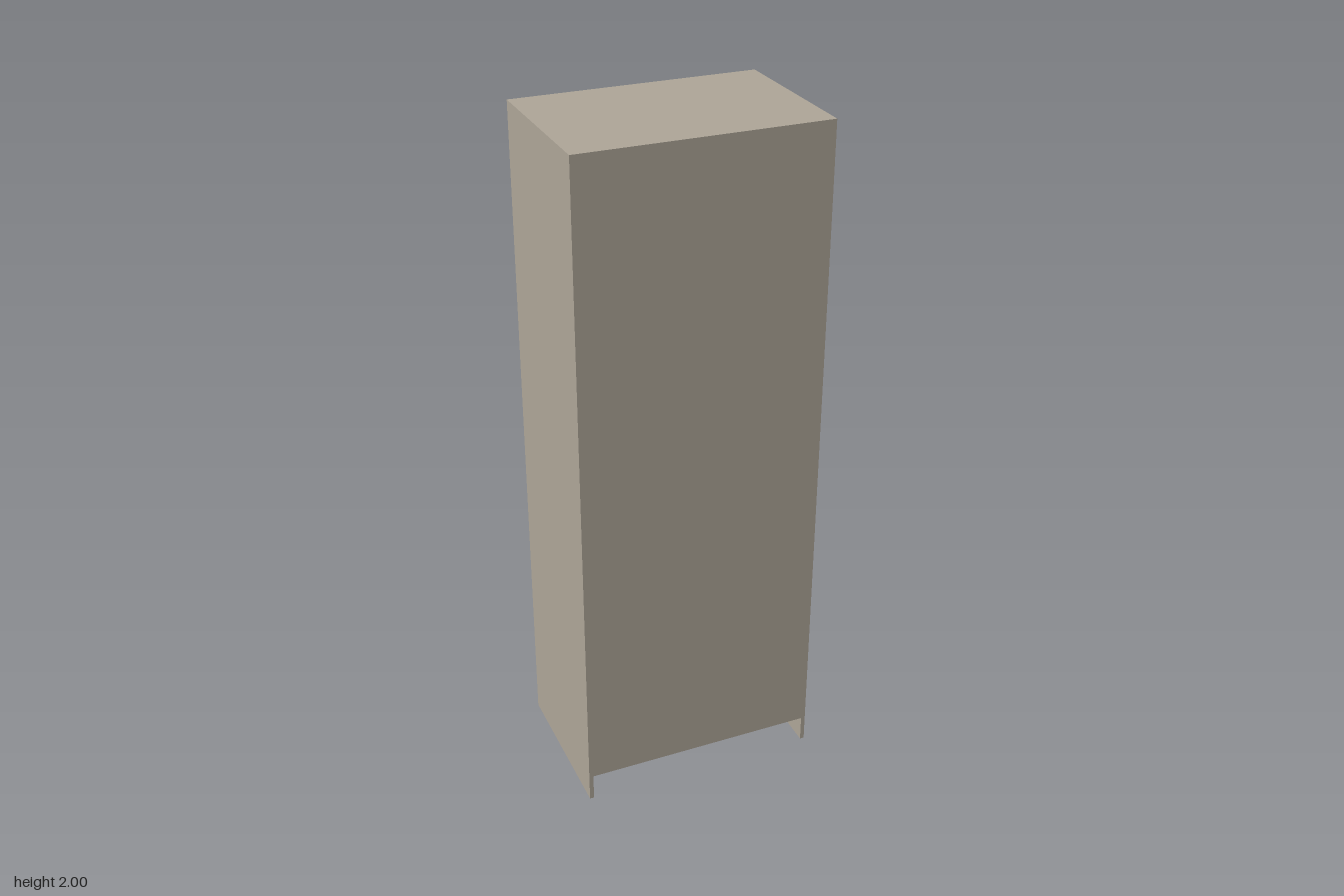
import * as THREE from 'three';

export function createModel() {
  const group = new THREE.Group();
  group.name = 'wardrobe';
  const board = new THREE.MeshStandardMaterial({ color: 0xaea698 });
  board.name = 'taupe board';

  // Overall size, board thickness and main levels
  const W = 0.717, H = 2, D = 0.48, T = 0.0127;
  const panelT = 0.004, plinthH = 0.082, upperY = 1.693;
  const inner = W / 2 - T;
  const dividerX = -0.143;

  // Box given by its minimum and maximum corners
  function addBoard(name, x0, x1, y0, y1, z0, z1) {
    const mesh = new THREE.Mesh(new THREE.BoxGeometry(x1 - x0, y1 - y0, z1 - z0), board);
    mesh.position.set((x0 + x1) / 2, (y0 + y1) / 2, (z0 + z1) / 2);
    mesh.name = name;
    group.add(mesh);
  }
  const back = -D / 2, front = D / 2, inside = front - panelT;

  // Carcass: sides reach the floor, the closing panel stops above the plinth
  addBoard('leftSide', inner, W / 2, 0, H - T, back, front);
  addBoard('rightSide', -W / 2, -inner, 0, H - T, back, front);
  addBoard('top', -W / 2, W / 2, H - T, H, back, front);
  addBoard('frontPanel', -inner, inner, plinthH, H - T, inside, front);
  addBoard('bottom', -inner, inner, plinthH, plinthH + T, back, inside);
  addBoard('plinth', -inner, inner, 0, plinthH, back, back + T);

  // Full-width upper shelf and the upright below it
  addBoard('upperShelf', -inner, inner, upperY - T / 2, upperY + T / 2, back, inside);
  addBoard('divider', dividerX - T / 2, dividerX + T / 2, plinthH + T, upperY - T / 2, back, inside);

  // Shelves and hanging rail in each of the two bays
  const bays = [
    ['left', dividerX + T / 2, inner],
    ['right', -inner, dividerX - T / 2],
  ];
  for (const [side, x0, x1] of bays) {
    for (const y of [0.24, 0.507, 0.774, 1.066]) {
      addBoard(side + 'Shelf', x0, x1, y - T / 2, y + T / 2, back, inside);
    }
    const rail = new THREE.Mesh(new THREE.CylinderGeometry(0.01, 0.01, x1 - x0, 24), board);
    rail.rotation.z = Math.PI / 2;
    rail.position.set((x0 + x1) / 2, 1.557, 0);
    rail.name = side + 'HangingRail';
    group.add(rail);
  }
  return group;
}
